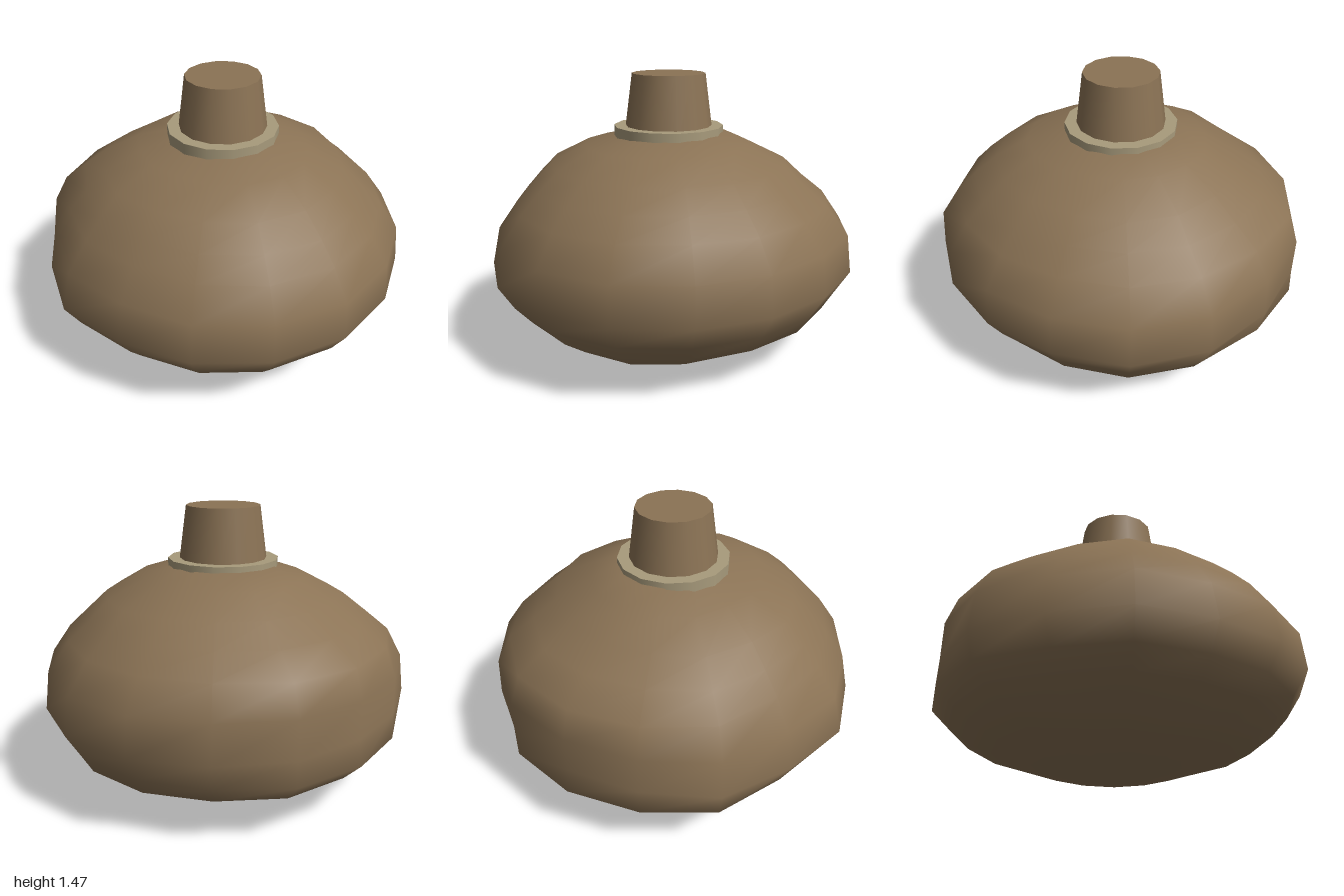
import * as THREE from 'three';

const brown = new THREE.MeshStandardMaterial({ color: 0x8b7355 });
brown.name = 'brown sack';
const tan = new THREE.MeshStandardMaterial({ color: 0xa89b7c });
tan.name = 'pale tan tie';

// Sack cross-sections, bottom to top: y, then reach to +x, +z, -x, -z
const rows = [
  [0.005, 0.2, 0.13, 0.27, 0.1],
  [0.045, 0.46, 0.38, 0.5, 0.47],
  [0.12, 0.62, 0.68, 0.64, 0.72],
  [0.22, 0.86, 0.81, 0.83, 0.88],
  [0.32, 0.92, 0.9, 0.92, 0.98],
  [0.45, 1, 0.985, 1, 0.96],
  [0.65, 0.975, 0.97, 0.95, 0.965],
  [0.8, 0.86, 0.87, 0.84, 0.92],
  [0.9, 0.74, 0.77, 0.75, 0.77],
  [1.0, 0.64, 0.65, 0.65, 0.62],
  [1.1, 0.43, 0.48, 0.45, 0.46],
  [1.16, 0.28, 0.2, 0.15, 0.33],
];
// Uneven outline seen from above, one factor per side, from +z towards +x
const outline = [1, 0.98, 0.97, 0.97, 1, 1.01, 1, 1.02, 1, 1, 1.03, 0.98, 1, 0.965, 0.985, 1];

// Lumpy closed surface through the cross-sections
function sackGeometry() {
  const n = outline.length;
  const pos = [];
  const index = [];
  for (const [y, right, front, left, back] of rows) {
    outline.forEach((k, i) => {
      const a = (i / n) * Math.PI * 2;
      const s = Math.sin(a), c = Math.cos(a);
      const r = k * (s * s * (s > 0 ? right : left) + c * c * (c > 0 ? front : back));
      pos.push(r * s, y, r * c);
    });
  }
  const bottom = pos.length / 3;
  const top = bottom + 1;
  pos.push(0, 0, 0, 0, 1.17, 0);
  const last = (rows.length - 1) * n;
  for (let i = 0; i < n; i++) {
    const j = (i + 1) % n;
    for (let o = 0; o < last; o += n) {
      index.push(o + i, o + j, o + n + j, o + i, o + n + j, o + n + i);
    }
    index.push(bottom, j, i, top, last + i, last + j);
  }
  const g = new THREE.BufferGeometry();
  g.setAttribute('position', new THREE.Float32BufferAttribute(pos, 3));
  g.setIndex(index);
  g.computeVertexNormals();
  return g;
}

export function createModel() {
  const group = new THREE.Group();
  const add = (name, geometry, material, y = 0, z = 0) => {
    const mesh = new THREE.Mesh(geometry, material);
    mesh.name = name;
    mesh.position.set(0, y, z);
    group.add(mesh);
  };
  add('sackBody', sackGeometry(), brown);
  // Gathered neck, narrowing upwards
  add('neck', new THREE.CylinderGeometry(0.195, 0.243, 0.365, 14), brown, 1.2825, -0.015);
  // Tie around the foot of the neck
  add('tie', new THREE.CylinderGeometry(0.293, 0.293, 0.07, 14), tan, 1.155, -0.015);
  return group;
}
